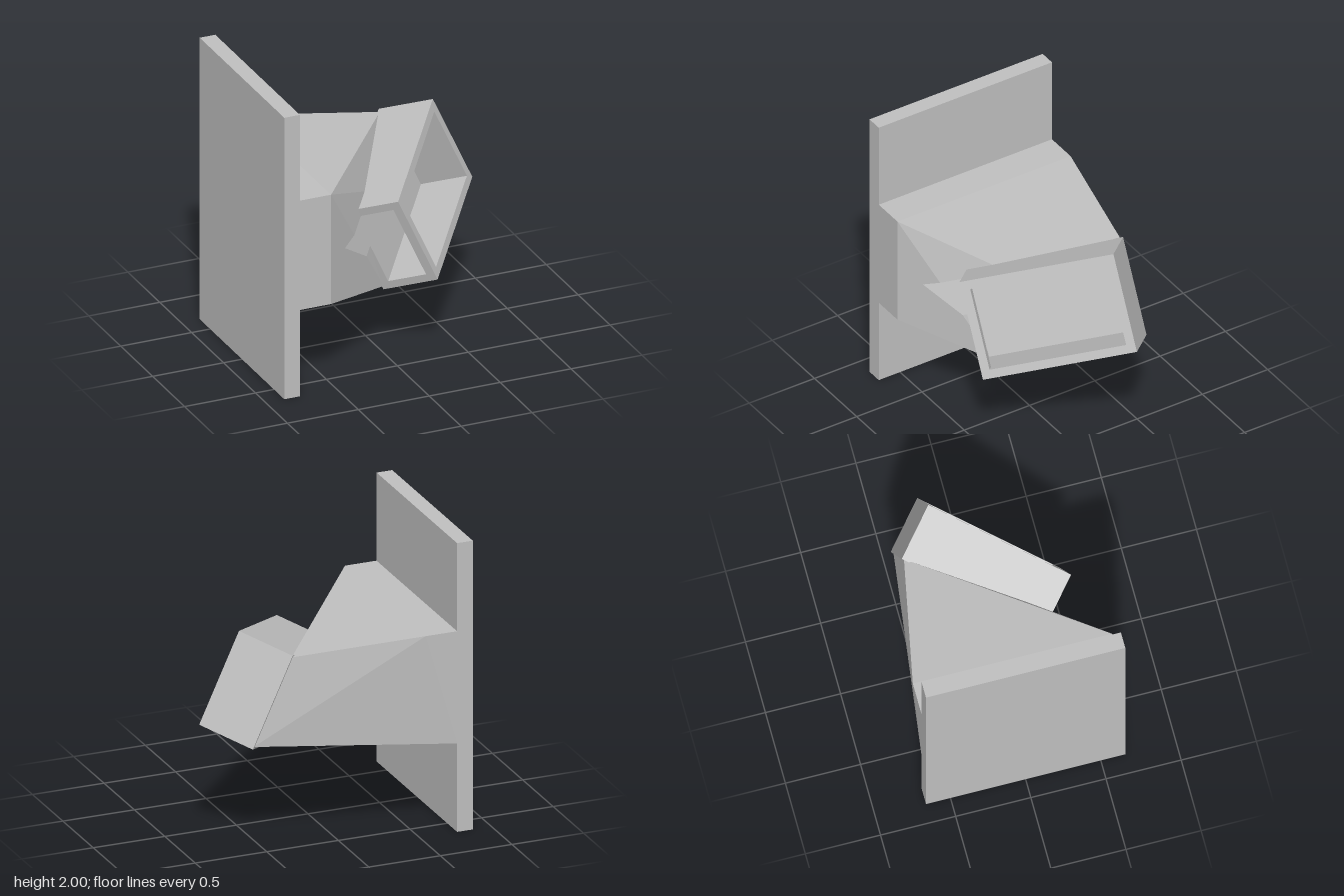
import * as THREE from 'three';

const V = (x, y, z) => new THREE.Vector3(x, y, z);

// Head size (length, height, depth) and wall thickness
const L = 1.03, H = 0.667, D = 0.387, T = 0.058;

// Keep the part of a convex polygon where f(p) >= 0
function clip(poly, f) {
  const out = [];
  poly.forEach((p, i) => {
    const q = poly[(i + 1) % poly.length], a = f(p), b = f(q);
    if (a >= 0) out.push(p);
    if ((a > 0 && b < 0) || (a < 0 && b > 0)) out.push(p.clone().lerp(q, a / (a - b)));
  });
  return out;
}

// Remove the part of a polygon that lies inside a convex region
function subtract(poly, region) {
  const kept = [];
  for (const f of region) {
    const outside = clip(poly, p => -f(p));
    if (outside.length > 2) kept.push(outside);
    poly = clip(poly, f);
    if (poly.length < 3) break;
  }
  return kept;
}

// Flat faced geometry from convex polygons
function facets(polys) {
  const pts = [];
  for (const p of polys)
    for (let i = 1; i < p.length - 1; i++) pts.push(p[0], p[i], p[i + 1]);
  const g = new THREE.BufferGeometry().setFromPoints(pts);
  g.computeVertexNormals();
  return g;
}

export function createModel() {
  const model = new THREE.Group();
  model.name = 'wallMountedHead';
  const grey = new THREE.MeshStandardMaterial({ color: 0xbfbfbf });
  grey.name = 'plain grey';

  const add = (parent, name, geometry) => {
    const mesh = new THREE.Mesh(geometry, grey);
    mesh.name = name;
    parent.add(mesh);
  };
  const block = (parent, name, x0, x1, y0, y1, z0, z1) =>
    add(parent, name, new THREE.BoxGeometry(x1 - x0, y1 - y0, z1 - z0)
      .translate((x0 + x1) / 2, (y0 + y1) / 2, (z0 + z1) / 2));

  // Upright wall plate
  block(model, 'wallPlate', -0.87, -0.76, 0, 2, -0.663, 0.663);

  // Tilted head: x along its length, y up its face, z out of the opening
  const along = V(0.6, 0.275, -0.79).normalize();
  const out = along.clone().cross(V(-0.28, 0.61, 0)).normalize();
  const up = out.clone().cross(along);
  const head = new THREE.Group();
  head.name = 'head';
  const frame = new THREE.Matrix4().makeBasis(along, up, out).setPosition(0, 0.45, 0.283);
  head.applyMatrix4(frame);
  model.add(head);

  // Hollow shell, open at the front and at one end
  block(head, 'backPanel', 0, L, 0, H, 0, T);
  block(head, 'topPanel', 0, L, H - T, H, T, D);
  block(head, 'bottomPanel', 0, L, 0, T, T, D);
  block(head, 'endPanel', L - T, L, T, H - T, T, D);
  block(head, 'frontBar', 0, T, T, H - T, D - T, D);

  // Twisted arm from the plate to the back of the head, in head coordinates
  const toHead = frame.clone().invert();
  const w = (x, y, z) => V(x, y, z).applyMatrix4(toHead);
  const wallTopF = w(-0.76, 1.39, 0.663), wallTopB = w(-0.76, 1.39, -0.663);
  const wallLowF = w(-0.76, 0.613, 0.663), wallLowB = w(-0.76, 0.613, -0.663);
  const topF = w(-0.54, 1.39, 0.663), topB = w(-0.54, 1.39, -0.663), lowF = w(-0.54, 0.613, 0.663);
  const i = 0.015;
  const endTop = V(L - i, H - i, 0.005), endLow = V(L - i, i, 0.005), endNear = V(i, i, 0.005);

  const ridge = [topF, endNear, endLow], cheek = [topF, lowF, endNear];
  const skin = [
    [wallTopF, topF, topB, wallTopB], [topF, endTop, topB],
    [topB, endTop, endLow], [topB, endLow, wallLowB], [wallTopB, topB, wallLowB],
    [wallLowB, endLow, endNear], [wallLowB, endNear, lowF], [wallLowB, lowF, wallLowF],
    [topF, endLow, endTop], ridge, cheek, [wallTopF, wallLowF, lowF, topF],
  ];

  // The hollow of the head runs on through its open end and notches the arm
  const hollow = [p => p.z - T, p => H - T - p.y, p => p.y - T, p => L - T - p.x];
  add(head, 'arm', facets(skin.flatMap(p => subtract(p, hollow))));

  // Walls of the notch, trimmed to the arm's surface
  const planes = [ridge, cheek].map(t => new THREE.Plane().setFromCoplanarPoints(...t));
  const trim = poly => planes.reduce((p, pl) => clip(p, v => -pl.distanceToPoint(v)), poly);
  const y = H - T;
  add(head, 'notch', facets([
    trim([V(-0.8, y, T), V(0, y, T), V(0, y, 0.3), V(-0.8, y, 0.3)]),
    trim([V(-0.8, T, T), V(0, T, T), V(0, y, T), V(-0.8, y, T)]),
  ]));
  return model;
}
